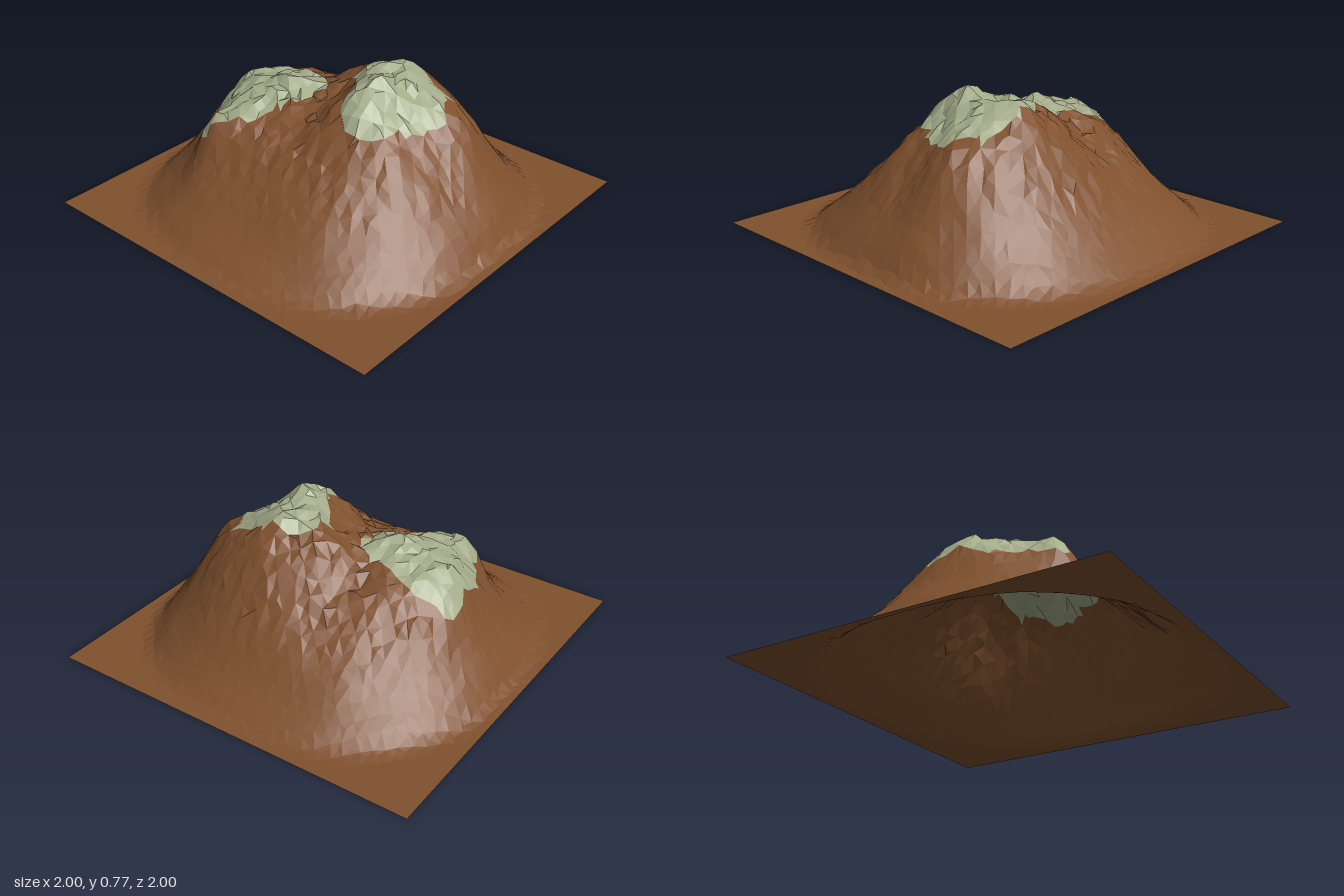
import * as THREE from 'three';

// Broad heights every 0.2 units: rows z = -0.8..0.8, columns x = -0.8..0.8
const HEIGHTS = [
  [0.00, 0.03, 0.09, 0.16, 0.20, 0.16, 0.09, 0.03, 0.00],
  [0.03, 0.12, 0.28, 0.43, 0.50, 0.40, 0.25, 0.12, 0.03],
  [0.07, 0.25, 0.49, 0.56, 0.56, 0.51, 0.37, 0.22, 0.07],
  [0.10, 0.26, 0.45, 0.54, 0.57, 0.53, 0.42, 0.27, 0.09],
  [0.10, 0.26, 0.43, 0.54, 0.59, 0.66, 0.53, 0.32, 0.10],
  [0.09, 0.26, 0.43, 0.64, 0.73, 0.72, 0.60, 0.33, 0.10],
  [0.06, 0.22, 0.39, 0.56, 0.62, 0.65, 0.54, 0.28, 0.07],
  [0.03, 0.13, 0.27, 0.39, 0.43, 0.52, 0.37, 0.16, 0.03],
  [0.00, 0.03, 0.10, 0.17, 0.20, 0.21, 0.13, 0.04, 0.00],
];

// Small knolls and dips: x, z, height, radius
const KNOLLS = [
  [-0.02, 0.28, 0.05, 0.07], [-0.15, 0.27, 0.04, 0.06], [0.11, 0.22, -0.04, 0.05],
  [0.28, 0.22, 0.03, 0.07], [-0.06, -0.26, 0.05, 0.07], [-0.47, -0.45, 0.07, 0.07],
  [-0.08, -0.60, 0.02, 0.07], [-0.30, -0.40, -0.03, 0.08],
];

// Outlines of the two caps, as x, z pairs
const FRONT_CAP = [[0.10, 0.03], [0.22, 0.04], [0.30, 0.12], [0.32, 0.25], [0.29, 0.46],
  [0.20, 0.48], [0.13, 0.56], [0, 0.52], [-0.10, 0.45], [-0.20, 0.42], [-0.24, 0.36],
  [-0.28, 0.28], [-0.20, 0.17], [-0.05, 0.15], [0, 0.09]];
const BACK_CAP = [[0.03, -0.68], [0.10, -0.68], [0.17, -0.50], [0.13, -0.34], [0.10, -0.20],
  [0.05, -0.11], [-0.13, -0.11], [-0.24, -0.20], [-0.38, -0.25], [-0.45, -0.37],
  [-0.51, -0.47], [-0.32, -0.57], [-0.18, -0.64]];

let seed = 7;
function random() {
  seed = (seed * 16807) % 2147483647;
  return seed / 2147483647;
}

const sample = (row, col) => HEIGHTS[row]?.[col] ?? 0;

function cubic(a, b, c, d, t) {
  return b + 0.5 * t * (c - a + t * (2 * a - 5 * b + 4 * c - d + t * (3 * (b - c) + d - a)));
}

// Smooth height between the broad samples, plus knolls, fading to a flat rim
function heightAt(x, z) {
  const u = (x + 0.8) / 0.2, v = (z + 0.8) / 0.2;
  const col = Math.floor(u), row = Math.floor(v);
  const across = [-1, 0, 1, 2].map((r) => cubic(
    sample(row + r, col - 1), sample(row + r, col),
    sample(row + r, col + 1), sample(row + r, col + 2), u - col));
  let y = Math.max(0, cubic(...across, v - row));
  for (const [kx, kz, height, radius] of KNOLLS) {
    y += height * Math.exp(-((x - kx) ** 2 + (z - kz) ** 2) / radius ** 2);
  }
  const reach = (Math.abs(x) ** 2.4 + Math.abs(z) ** 2.4) ** (1 / 2.4);
  return y * (1 - THREE.MathUtils.smoothstep(reach, 0.85, 1.01));
}

function inside(outline, x, z) {
  let hit = false;
  outline.forEach(([ax, az], i) => {
    const [bx, bz] = outline[(i + 1) % outline.length];
    if ((az > z) !== (bz > z) && x < ax + ((z - az) / (bz - az)) * (bx - ax)) hit = !hit;
  });
  return hit;
}

// Closest point on an outline
function nearest(outline, x, z) {
  let best = { d: Infinity };
  outline.forEach(([ax, az], i) => {
    const [bx, bz] = outline[(i + 1) % outline.length];
    const dx = bx - ax, dz = bz - az;
    const t = THREE.MathUtils.clamp(((x - ax) * dx + (z - az) * dz) / (dx * dx + dz * dz), 0, 1);
    const px = ax + t * dx, pz = az + t * dz, d = Math.hypot(px - x, pz - z);
    if (d < best.d) best = { d, x: px, z: pz };
  });
  return best;
}

export function createModel() {
  const earth = new THREE.MeshStandardMaterial({ color: 0x80512e, side: THREE.DoubleSide });
  earth.name = 'earthBrown';
  const moss = new THREE.MeshStandardMaterial({ color: 0xa4ab89, side: THREE.DoubleSide });
  moss.name = 'paleGreen';

  // Jittered grid of points, pulled onto the cap outlines where close
  const N = 46, step = 2 / N, grid = [];
  for (let j = 0; j <= N; j++) {
    for (let i = 0; i <= N; i++) {
      const edge = i === 0 || j === 0 || i === N || j === N;
      const jitter = edge ? 0 : step * 0.45;
      let x = -1 + i * step + (random() - 0.5) * jitter;
      let z = -1 + j * step + (random() - 0.5) * jitter;
      for (const outline of [FRONT_CAP, BACK_CAP]) {
        const p = nearest(outline, x, z);
        if (p.d < step * 0.4) { x = p.x; z = p.z; }
      }
      const base = edge ? 0 : heightAt(x, z);
      // Rocky roughness grows with height
      const rough = 0.028 * THREE.MathUtils.smoothstep(base, 0.04, 0.6);
      grid.push(new THREE.Vector3(x, base + (random() - 0.5) * rough, z));
    }
  }

  // Share the triangles between the slopes and the caps
  const faces = { slopes: [], frontCap: [], backCap: [] };
  const addFace = (a, b, c) => {
    const x = (a.x + b.x + c.x) / 3, z = (a.z + b.z + c.z) / 3;
    const part = inside(FRONT_CAP, x, z) ? 'frontCap' : inside(BACK_CAP, x, z) ? 'backCap' : 'slopes';
    faces[part].push(a, b, c);
  };
  for (let j = 0; j < N; j++) {
    for (let i = 0; i < N; i++) {
      const k = j * (N + 1) + i;
      const a = grid[k], b = grid[k + 1], c = grid[k + N + 1], d = grid[k + N + 2];
      if ((i + j) % 2) { addFace(a, c, b); addFace(b, c, d); }
      else { addFace(a, c, d); addFace(a, d, b); }
    }
  }

  // Separate corners give faceted normals
  const group = new THREE.Group();
  group.name = 'mountain';
  for (const [name, points] of Object.entries(faces)) {
    const geometry = new THREE.BufferGeometry().setFromPoints(points);
    geometry.computeVertexNormals();
    const mesh = new THREE.Mesh(geometry, name === 'slopes' ? earth : moss);
    mesh.name = name;
    group.add(mesh);
  }
  return group;
}
